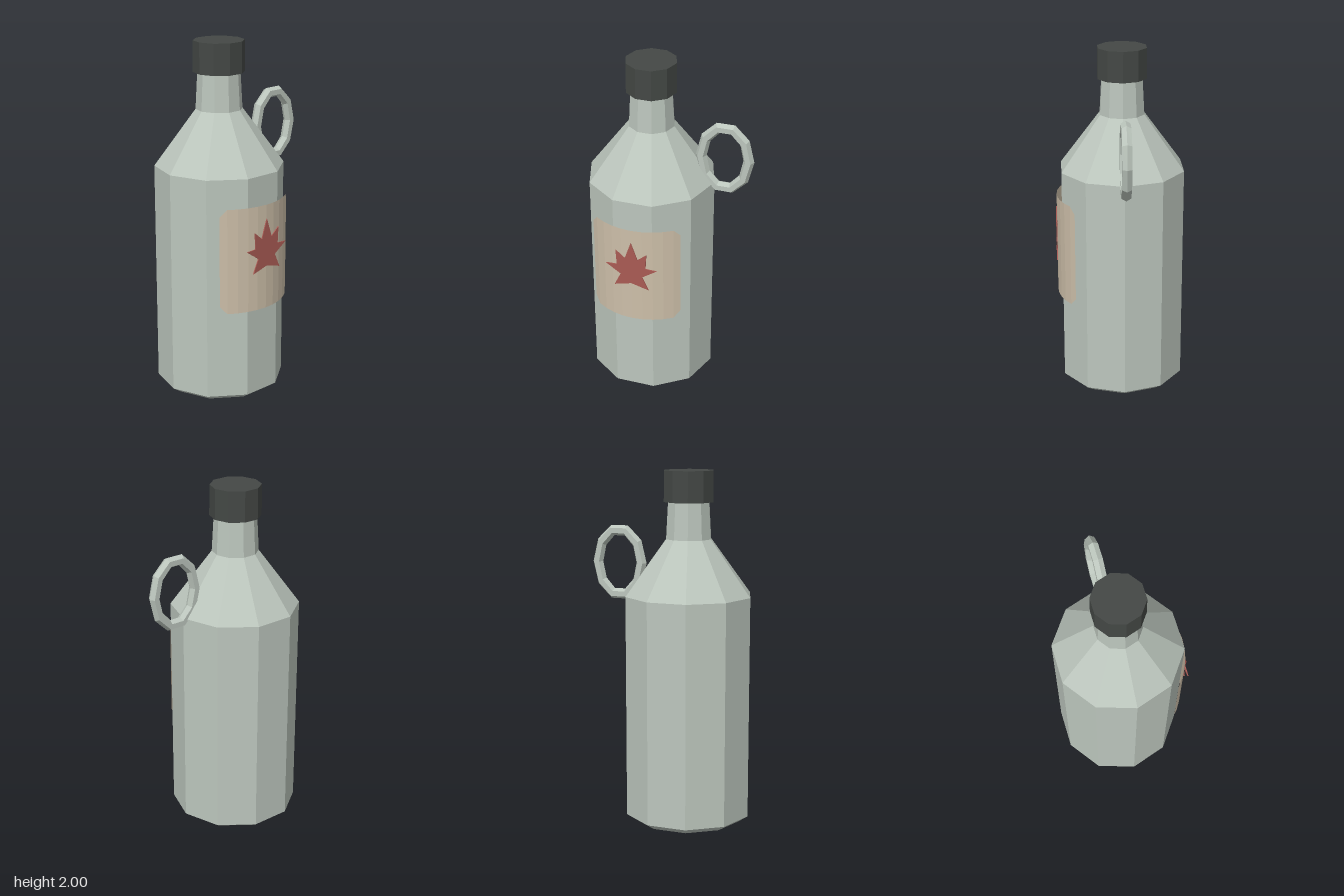
import * as THREE from 'three';

const SIDES = 10;
const AXIS_X = -0.111, AXIS_Z = -0.017;

function material(name, color, options = {}) {
  const m = new THREE.MeshStandardMaterial({ color, flatShading: true, ...options });
  m.name = name;
  return m;
}

// Faceted solid of revolution with a corner on the x axis
function turned(profile) {
  const points = profile.map(([r, y]) => new THREE.Vector2(r, y));
  return new THREE.LatheGeometry(points, SIDES, Math.PI / 2);
}

// Curved label with clipped corners, wrapped around the front
function labelGeometry() {
  const radius = 0.377, half = 0.256, clip = 0.032, bottom = 0.545, top = 1.145, spans = 8;
  const inner = Math.asin((half - clip) / radius), outer = Math.asin(half / radius);
  const geo = new THREE.PlaneGeometry(2, 2, spans + 2, 1);
  const pos = geo.attributes.position;
  for (let i = 0; i < pos.count; i++) {
    const col = i % (spans + 3);
    const atEnd = col === 0 || col === spans + 2;
    const angle = atEnd ? Math.sign(col - 1) * outer : inner * (2 * (col - 1) / spans - 1);
    const inset = atEnd ? 0.042 : 0;
    const y = pos.getY(i) > 0 ? top - inset : bottom + inset;
    pos.setXYZ(i, Math.sin(angle) * radius, y, Math.cos(angle) * radius);
  }
  geo.computeVertexNormals();
  return geo;
}

// Symmetrical leaf outline, right half mirrored to the left
function leafGeometry() {
  const right = [[0, 1.066], [0.037, 0.957], [0.09, 1.002], [0.084, 0.908],
    [0.148, 0.906], [0.063, 0.848], [0.1, 0.768], [0, 0.795]];
  const left = right.slice(1, -1).reverse().map(([x, y]) => [-x, y]);
  const shape = new THREE.Shape([...right, ...left].map(([x, y]) => new THREE.Vector2(x, y)));
  return new THREE.ExtrudeGeometry(shape, { depth: 0.006, bevelEnabled: false });
}

// Oval ring with an even hexagonal section
function ringGeometry() {
  const geo = new THREE.TorusGeometry(0.135, 0.031, 6, SIDES);
  const pos = geo.attributes.position;
  for (let i = 0; i < pos.count; i++) {
    const x = pos.getX(i), y = pos.getY(i);
    pos.setY(i, y + 0.056 * y / Math.hypot(x, y));
  }
  geo.computeVertexNormals();
  return geo;
}

export function createModel() {
  const glass = material('pale green glass', 0xbcc6bd);
  const capDark = material('dark cap', 0x444845);
  const paper = material('tan paper', 0xcdbfa9, { side: THREE.DoubleSide });
  const red = material('leaf red', 0xa95b54);

  const bottle = new THREE.Group();
  bottle.name = 'bottle';
  bottle.position.set(AXIS_X, 0, AXIS_Z);

  const add = (name, geometry, mat, x = 0, y = 0, z = 0) => {
    const mesh = new THREE.Mesh(geometry, mat);
    mesh.name = name;
    mesh.position.set(x, y, z);
    bottle.add(mesh);
  };

  // Base bevel, straight wall, shoulder and neck
  add('body', turned([[0, 0], [0.312, 0], [0.365, 0.036], [0.365, 1.304],
    [0.131, 1.62], [0.119, 1.84]]), glass);
  add('cap', turned([[0, 1.826], [0.144, 1.826], [0.143, 2], [0, 2]]), capDark);
  add('ringHandle', ringGeometry(), glass, 0.421, 1.47, 0);
  add('label', labelGeometry(), paper);
  add('leafEmblem', leafGeometry(), red, 0, 0, 0.376);

  const model = new THREE.Group();
  model.add(bottle);
  return model;
}
